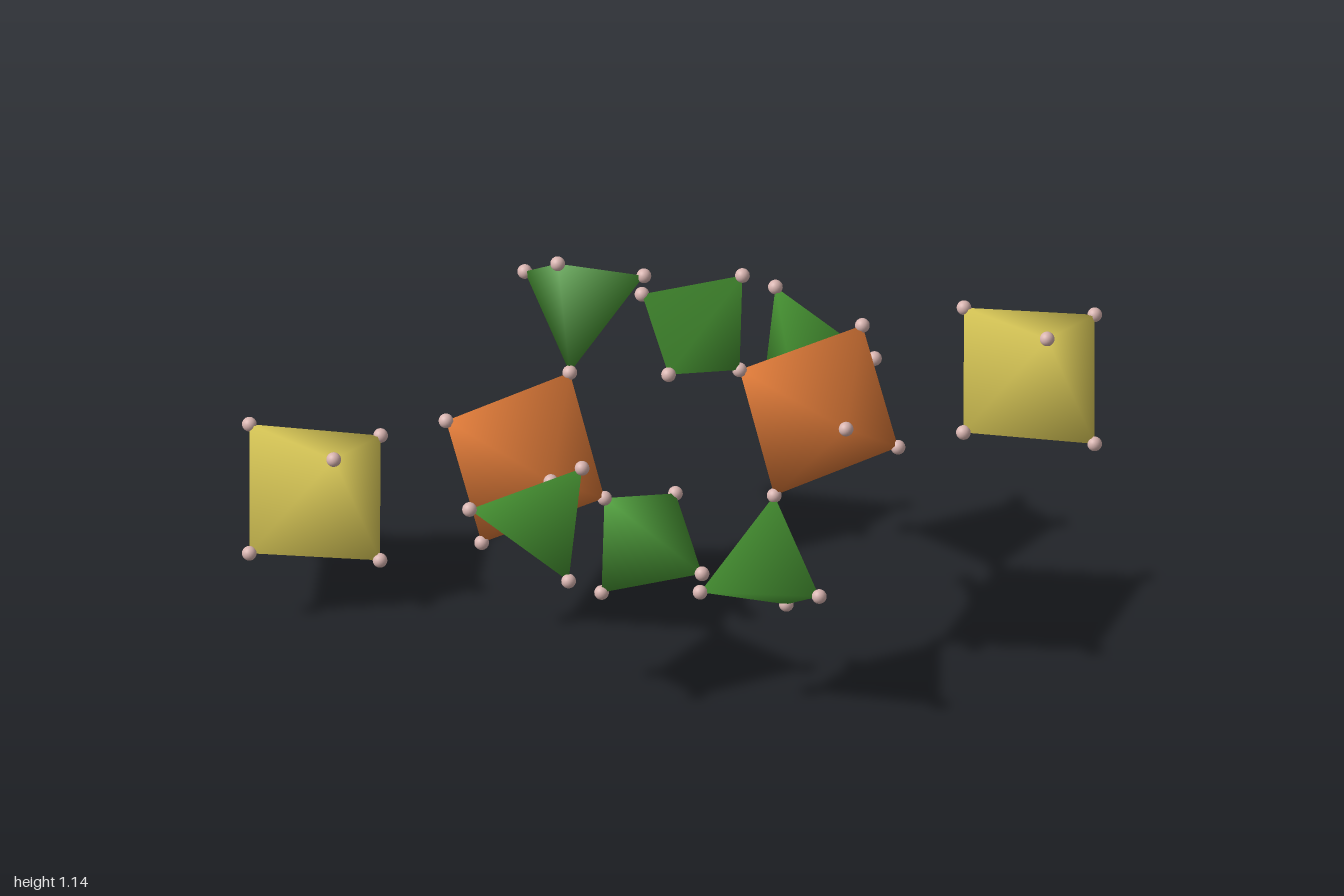
import * as THREE from 'three';
import { mergeVertices } from 'three/addons/utils/BufferGeometryUtils.js';
import { ConvexGeometry } from 'three/addons/geometries/ConvexGeometry.js';

const CENTRE_Y = 0.573;
const BALL_RADIUS = 0.018;

const material = (color) => new THREE.MeshStandardMaterial({ color });

// Corners of the right half; the orange corners it shares with tetrahedra come first
const orangeTop = [0.197, 0.826, -0.03];
const orangeBottom = [0.31, 0.514, -0.033];
const orangeInner = [0.128, 0.631, -0.293];

const solids = [
  { name: 'yellowOctahedron', color: 'yellow', corners: [
    [0.59, 1.0, -0.408], [0.907, 1.064, -0.366], [0.975, 0.75, -0.462],
    [0.656, 0.698, -0.502], [0.768, 0.805, -0.217], [0.787, 0.949, -0.662]] },
  { name: 'orangeOctahedron', color: 'orange', corners: [
    orangeTop, orangeBottom, orangeInner,
    [0.448, 0.579, -0.325], [0.331, 0.878, -0.323], [0.512, 0.771, -0.073]] },
  { name: 'upperTetrahedron', color: 'green', corners: [
    orangeTop, [-0.022, 1.0, 0.083], [0.235, 1.125, 0.0], [0.222, 0.948, 0.248]] },
  { name: 'lowerTetrahedron', color: 'green', corners: [
    orangeBottom, [0.56, 0.379, 0.073], [0.298, 0.345, 0.217], [0.34, 0.211, -0.044]] },
  { name: 'innerTetrahedron', color: 'green', corners: [
    orangeInner, [-0.086, 0.45, -0.41], [-0.09, 0.747, -0.462], [0.12, 0.574, -0.59]] },
];

// Convex solid with normals averaged at shared corners for soft shading
function smoothSolid(points) {
  const hull = new ConvexGeometry(points);
  hull.deleteAttribute('normal');
  const geometry = mergeVertices(hull, 1e-4);
  geometry.computeVertexNormals();
  return geometry;
}

export function createModel() {
  const model = new THREE.Group();
  model.name = 'crystalCluster';
  const materials = {
    yellow: material(0xe5d35c),
    orange: material(0xe07b39),
    green: material(0x4a9a35),
  };
  const ballMaterial = material(0xd8b4b0);
  const ballGeometry = new THREE.SphereGeometry(BALL_RADIUS, 20, 14);

  // The second half is the first one inverted through the centre
  for (const sign of [1, -1]) {
    const half = new THREE.Group();
    half.name = sign > 0 ? 'leftHalf' : 'rightHalf';
    const place = ([x, y, z]) =>
      new THREE.Vector3(sign * x, CENTRE_Y + sign * (y - CENTRE_Y), sign * z);

    for (const { name, color, corners } of solids) {
      const solid = new THREE.Mesh(smoothSolid(corners.map(place)), materials[color]);
      solid.name = name;
      half.add(solid);
    }

    // One ball on every distinct corner
    for (const corner of new Set(solids.flatMap((s) => s.corners))) {
      const ball = new THREE.Mesh(ballGeometry, ballMaterial);
      ball.name = 'cornerBall';
      ball.position.copy(place(corner));
      half.add(ball);
    }
    model.add(half);
  }
  return model;
}
